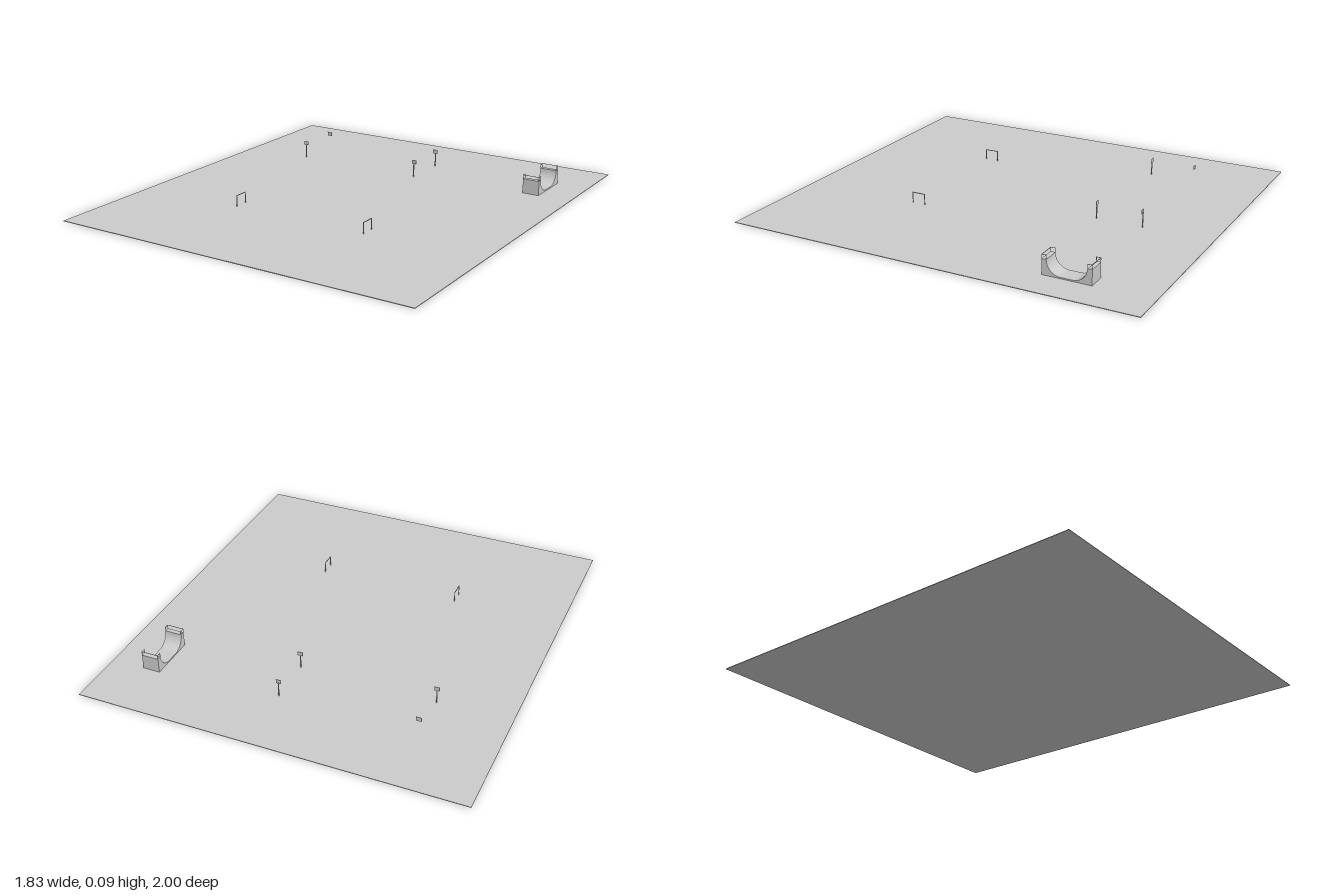
import * as THREE from 'three';

const material = new THREE.MeshStandardMaterial({ color: 0xcccccc, side: THREE.DoubleSide });
const GROUND = 0.003;

function box(name, w, h, d, x, y, z) {
  const mesh = new THREE.Mesh(new THREE.BoxGeometry(w, h, d), material);
  mesh.name = name;
  mesh.position.set(x, y, z);
  return mesh;
}

// Thin square post standing on height y0
function post(x, z, y0, y1, t) {
  return box('post', t, y1 - y0, t, x, (y0 + y1) / 2, z);
}

// Basketball stand: thin pole and backboard
function createHoop(x, z, hasPole) {
  const hoop = new THREE.Group();
  hoop.name = 'basketballHoop';
  const face = z < -0.55 ? 1 : -1;
  if (hasPole) hoop.add(post(x, z, 0, 0.075, 0.004));
  hoop.add(box('backboard', 0.025, 0.02, 0.002, x, 0.08, z + face * 0.002));
  return hoop;
}

// Goal frame: two posts and a crossbar
function createGoal(x) {
  const goal = new THREE.Group();
  goal.name = 'goalFrame';
  const t = 0.003, top = 0.057;
  for (const z of [0.352, 0.417]) goal.add(post(x, z, 0, top, t));
  goal.add(box('crossbar', t, t, 0.065, x, top - t / 2, 0.3845));
  return goal;
}

// Half-pipe: extruded side profile with a guard rail on each deck
function createHalfPipe() {
  const pipe = new THREE.Group();
  pipe.name = 'halfPipe';
  const half = 0.115, deck = 0.022, height = 0.075, width = 0.084;
  const floor = 0.009, r = height - floor, inner = half - deck;

  const profile = new THREE.Shape();
  profile.moveTo(-half, 0);
  profile.lineTo(half, 0);
  profile.lineTo(half, height);
  profile.lineTo(inner, height);
  profile.absarc(inner - r, height, r, 0, -Math.PI / 2, true);
  profile.absarc(r - inner, height, r, -Math.PI / 2, -Math.PI, true);
  profile.lineTo(-half, height);
  const geometry = new THREE.ExtrudeGeometry(profile, { depth: width, bevelEnabled: false, curveSegments: 12 });
  geometry.translate(0, 0, -width / 2);
  geometry.rotateY(Math.PI / 2);
  const ramp = new THREE.Mesh(geometry, material);
  ramp.name = 'ramp';
  pipe.add(ramp);

  // Rails around the three outer sides of each deck
  const t = 0.002, top = 0.095, side = width / 2 - t / 2;
  for (const s of [-1, 1]) {
    const rail = new THREE.Group();
    rail.name = 'guardRail';
    const outerZ = s * (half - t / 2), innerZ = s * (inner + t / 2);
    rail.add(box('backRail', width, t, t, 0, top - t / 2, outerZ));
    for (const x of [-side, side]) {
      rail.add(box('sideRail', t, t, deck, x, top - t / 2, s * (half - deck / 2)));
      rail.add(post(x, outerZ, height, top, t), post(x, innerZ, height, top, t));
    }
    pipe.add(rail);
  }
  pipe.position.set(0.712, 0, -0.605);
  return pipe;
}

export function createModel() {
  const model = new THREE.Group();
  model.name = 'sportsGround';
  model.add(box('ground', 1.83, GROUND, 2, 0, GROUND / 2, 0));

  // Two pairs of hoops; the far one on the right is a board only
  for (const x of [-0.565, 0.094]) {
    model.add(createHoop(x, -0.662, x > 0), createHoop(x, -0.434, true));
  }
  for (const x of [-0.375, 0.325]) model.add(createGoal(x));
  model.add(createHalfPipe());
  return model;
}
